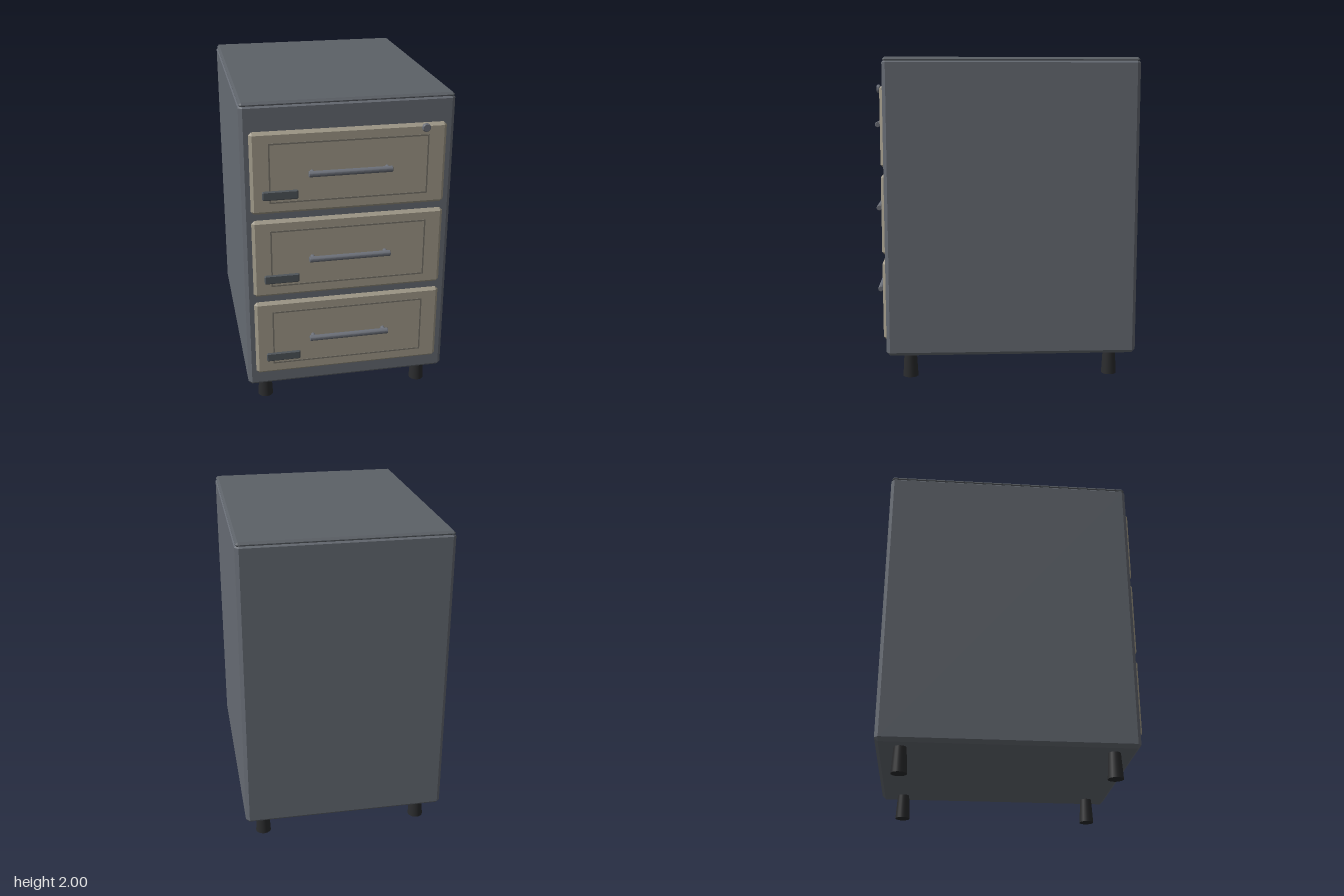
import * as THREE from 'three';
import { ConvexGeometry } from 'three/addons/geometries/ConvexGeometry.js';
import { mergeVertices, toCreasedNormals } from 'three/addons/utils/BufferGeometryUtils.js';

const mat = (color) => new THREE.MeshStandardMaterial({ color });
const steel = mat(0x666b73), topSteel = mat(0x5c6167), cream = mat(0xa39c8b);
const trim = mat(0x77736a), metal = mat(0x6c7079), plate = mat(0x50565b), rubber = mat(0x2b2c2e);

function add(parent, name, geometry, material, x = 0, y = 0, z = 0) {
  const mesh = new THREE.Mesh(geometry, material);
  mesh.name = name;
  mesh.position.set(x, y, z);
  parent.add(mesh);
  return mesh;
}

// Box with every edge cut at 45 degrees by c
function chamferBox(w, h, d, c) {
  const half = [w / 2, h / 2, d / 2];
  const points = [];
  for (const sx of [-1, 1]) for (const sy of [-1, 1]) for (const sz of [-1, 1])
    for (let full = 0; full < 3; full++) {
      const [x, y, z] = half.map((v, i) => (i === full ? v : v - c));
      points.push(new THREE.Vector3(sx * x, sy * y, sz * z));
    }
  return new ConvexGeometry(points);
}

// Cylinder with chamfered rims, lying along the y axis
function rod(r, length, c, sides = 20) {
  const h = length / 2;
  const profile = [[0, -h], [r - c, -h], [r, -h + c], [r, h - c], [r - c, h], [0, h]];
  const g = new THREE.LatheGeometry(profile.map(([x, y]) => new THREE.Vector2(x, y)), sides);
  g.deleteAttribute('normal');
  g.deleteAttribute('uv');
  return toCreasedNormals(mergeVertices(g), 0.6);
}

// Thin rectangular outline standing on the drawer face
function frameGeometry(w, h, t, depth) {
  const shape = new THREE.Shape();
  const rect = (path, a, b) =>
    path.moveTo(-a, -b).lineTo(a, -b).lineTo(a, b).lineTo(-a, b).closePath();
  rect(shape, w / 2, h / 2);
  const hole = new THREE.Path();
  rect(hole, w / 2 - t, h / 2 - t);
  shape.holes.push(hole);
  return new THREE.ExtrudeGeometry(shape, { depth, bevelEnabled: false });
}

function createDrawer() {
  const drawer = new THREE.Group();
  drawer.name = 'drawer';
  add(drawer, 'drawerFront', chamferBox(1.16, 0.5, 0.06, 0.018), cream, 0, 0, 0.73);
  add(drawer, 'panelOutline', frameGeometry(0.945, 0.365, 0.009, 0.004), trim, 0, 0, 0.758);
  add(drawer, 'labelPlate', chamferBox(0.21, 0.056, 0.028, 0.006), plate, -0.408, -0.132, 0.758);

  // Bar handle on two posts
  const handle = new THREE.Group();
  handle.name = 'handle';
  add(handle, 'handleBar', rod(0.018, 0.494, 0.003), metal, 0, 0, 0.802).rotation.z = Math.PI / 2;
  for (const x of [-0.222, 0.222])
    add(handle, 'handlePost', rod(0.013, 0.055, 0.001), metal, x, 0, 0.775).rotation.x = Math.PI / 2;
  drawer.add(handle);
  return drawer;
}

export function createModel() {
  const model = new THREE.Group();
  model.name = 'drawerCabinet';

  // Cabinet body and its thin top
  add(model, 'body', chamferBox(1.26, 1.83, 1.56, 0.022), steel, 0, 1.075, -0.04);
  add(model, 'topPanel', chamferBox(1.25, 0.03, 1.55, 0.013), topSteel, 0, 1.985, -0.04);

  // Three equal drawers
  for (let i = 0; i < 3; i++) {
    const drawer = createDrawer();
    drawer.position.y = 0.502 + i * 0.54;
    model.add(drawer);
  }

  // Lock at the upper corner of the top drawer
  const lock = new THREE.Group();
  lock.name = 'lock';
  lock.position.set(0.448, 1.81, 0);
  add(lock, 'lockStem', rod(0.017, 0.04, 0.001), metal, 0, 0, 0.752).rotation.x = Math.PI / 2;
  add(lock, 'lockHead', rod(0.025, 0.022, 0.005), metal, 0, 0, 0.773).rotation.x = Math.PI / 2;
  model.add(lock);

  // Four feet, wider at the floor
  const foot = new THREE.CylinderGeometry(0.038, 0.048, 0.17, 20);
  for (const x of [-0.51, 0.51])
    for (const z of [0.597, -0.672]) add(model, 'foot', foot, rubber, x, 0.085, z);

  return model;
}
